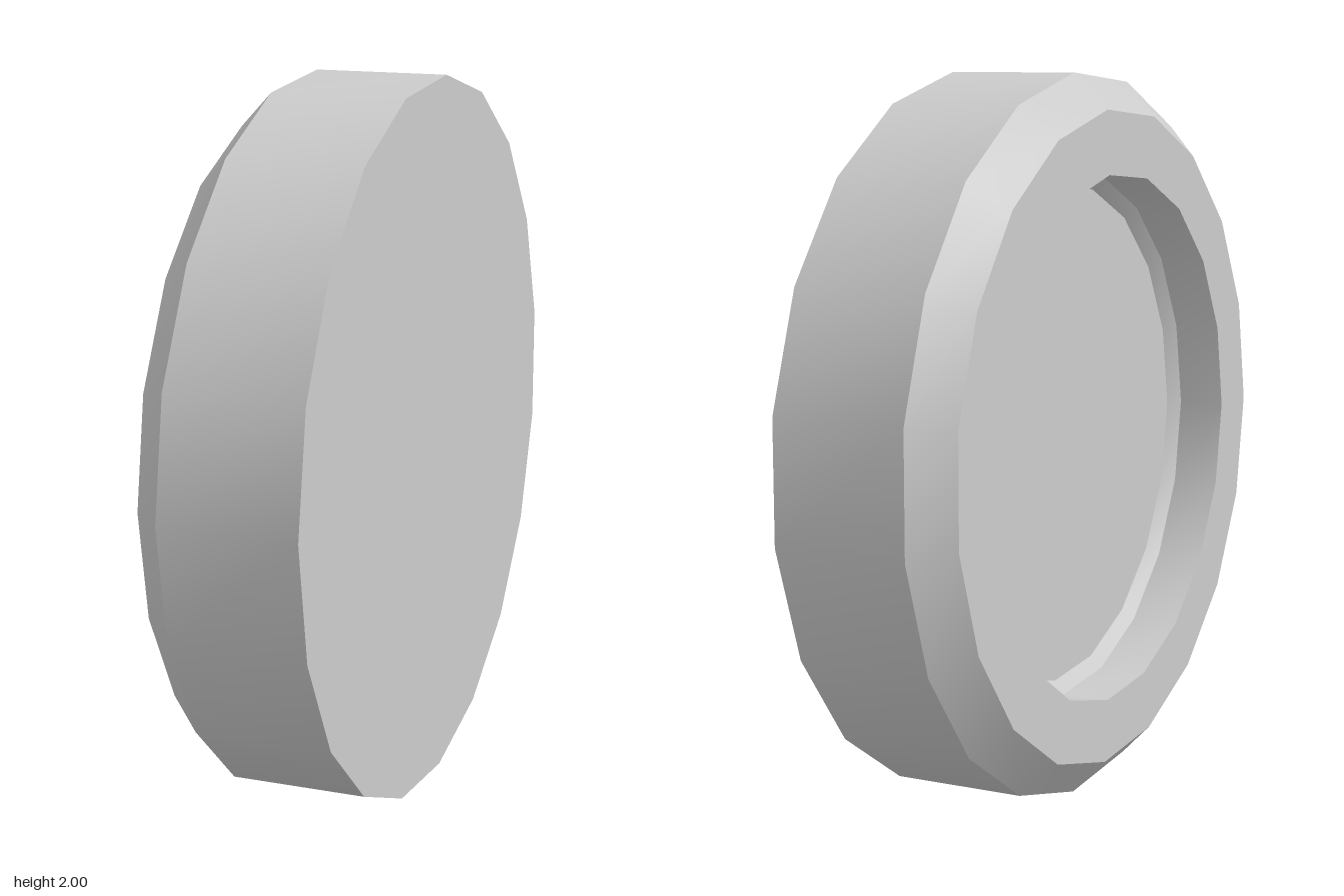
import * as THREE from 'three';
import { toCreasedNormals } from 'three/addons/utils/BufferGeometryUtils.js';

const SIDES = 19;

export function createModel() {
  const group = new THREE.Group();
  group.name = 'recessedDisc';

  // Profile as [radius, height along the axis]: flat face, wall, chamfer, rim, recess
  const profile = [
    [0, -0.235], [1.003, -0.235], [1.003, 0.14], [0.905, 0.235],
    [0.73, 0.235], [0.73, 0.1], [0.695, 0.07], [0, 0.07],
  ].map(([r, h]) => new THREE.Vector2(r, h));

  // Smooth around the disc, sharp between the bands
  const geometry = toCreasedNormals(
    new THREE.LatheGeometry(profile, SIDES),
    THREE.MathUtils.degToRad(28),
  );

  // Stand the disc on its edge with the recess facing -x
  const disc = new THREE.Mesh(geometry, new THREE.MeshStandardMaterial({ color: 0xcccccc }));
  disc.name = 'discBody';
  disc.rotation.z = Math.PI / 2;
  disc.position.set(0, 1, -0.007);
  group.add(disc);

  return group;
}
